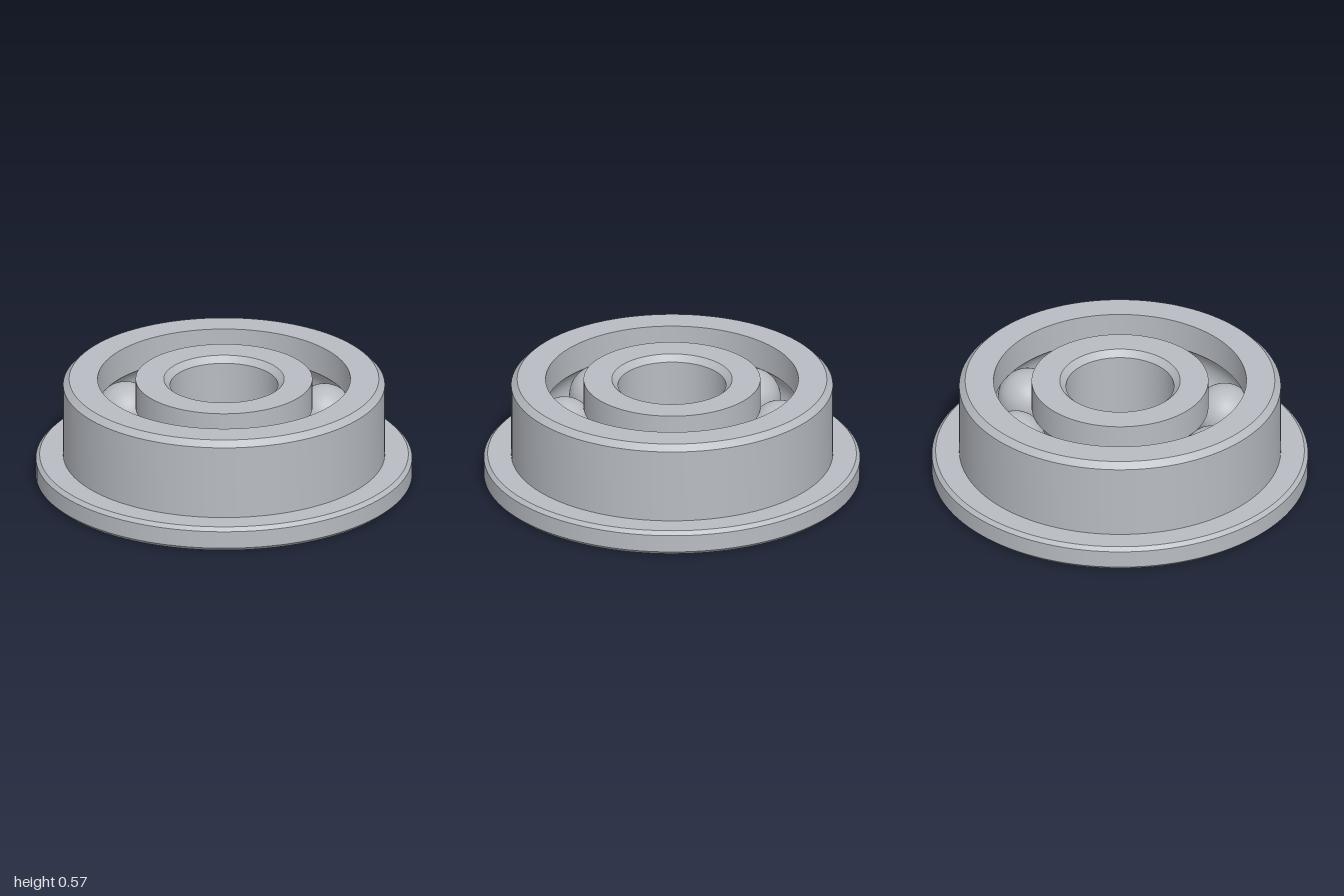
import * as THREE from 'three';
import { toCreasedNormals } from 'three/addons/utils/BufferGeometryUtils.js';

const MID = 0.285, TOP = 0.57;
const PITCH = 0.572, BALL = 0.158;
const OUTER_BORE = 0.672, INNER_RIM = 0.47;

// Raceway arc in the (radius, height) plane, from angle a to angle b
function groove(a, b, steps = 14) {
  const pts = [];
  for (let i = 0; i <= steps; i++) {
    const t = a + (b - a) * i / steps;
    pts.push([PITCH + BALL * Math.cos(t), MID + BALL * Math.sin(t)]);
  }
  return pts;
}

// Closed profile spun round the y axis, with crisp edges
function ring(name, profile, material) {
  const pts = [...profile, profile[0]].map(([r, y]) => new THREE.Vector2(r, y));
  const mesh = new THREE.Mesh(toCreasedNormals(new THREE.LatheGeometry(pts, 128), 0.45), material);
  mesh.name = name;
  return mesh;
}

export function createModel() {
  const group = new THREE.Group();
  group.name = 'flangedBallBearing';
  const steel = new THREE.MeshStandardMaterial({ color: 0xb8bcc2 });
  steel.name = 'steel grey';

  // Outer ring with flange, chamfers and ball raceway
  const outer = Math.acos((OUTER_BORE - PITCH) / BALL);
  group.add(ring('outerRing', [
    [OUTER_BORE, 0], [0.98, 0], [1, 0.02], [1, 0.115], [0.98, 0.135],
    [0.855, 0.135], [0.855, 0.538], [0.823, TOP], [OUTER_BORE, TOP],
    ...groove(outer, -outer),
  ], steel));

  // Inner ring with chamfered bore and ball raceway
  const inner = Math.acos((INNER_RIM - PITCH) / BALL);
  group.add(ring('innerRing', [
    [0.32, 0], [INNER_RIM, 0],
    ...groove(2 * Math.PI - inner, inner),
    [INNER_RIM, TOP], [0.32, TOP], [0.287, TOP - 0.033], [0.287, 0.033],
  ], steel));

  // Eight balls between the raceways
  const ballGeometry = new THREE.SphereGeometry(BALL, 40, 28);
  for (let i = 0; i < 8; i++) {
    const a = i * Math.PI / 4;
    const ball = new THREE.Mesh(ballGeometry, steel);
    ball.name = `ball${i + 1}`;
    ball.position.set(PITCH * Math.cos(a), MID, PITCH * Math.sin(a));
    group.add(ball);
  }
  return group;
}
